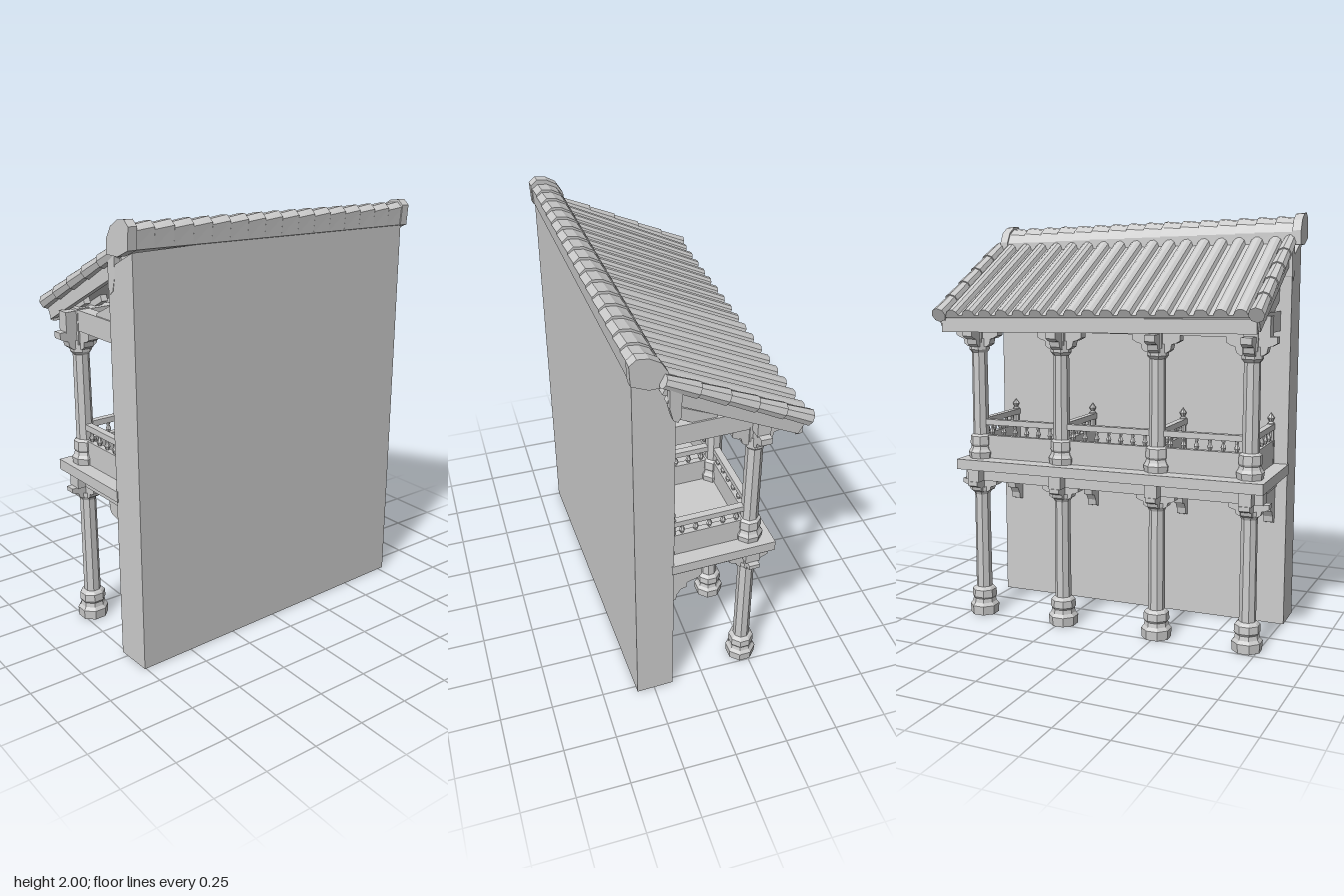
import * as THREE from 'three';

const stone = new THREE.MeshStandardMaterial({ color: 0xcccccc, flatShading: true, side: THREE.DoubleSide });
stone.name = 'paleGrey';

const COLS = [-0.69, -0.245, 0.245, 0.69]; // column centres along x
const COL_Z = -0.205;                      // column row
const WALL_Z = 0.182;                      // rear face of the wall

function add(parent, name, geo, x = 0, y = 0, z = 0) {
  const m = new THREE.Mesh(geo, stone);
  m.name = name;
  m.position.set(x, y, z);
  parent.add(m);
  return m;
}

// box given by its limits on each axis
function box(parent, name, [x0, x1], [y0, y1], [z0, z1]) {
  return add(parent, name, new THREE.BoxGeometry(x1 - x0, y1 - y0, z1 - z0),
    (x0 + x1) / 2, (y0 + y1) / 2, (z0 + z1) / 2);
}

// octagonal turned piece, profile listed as [radius, y]
function turned(parent, name, pts, x, z, sides = 8) {
  const geo = new THREE.LatheGeometry(pts.map(p => new THREE.Vector2(p[0], p[1])), sides, Math.PI / 8);
  return add(parent, name, geo, x, 0, z);
}

function shapeOf(pts) {
  return new THREE.Shape(pts.map(p => new THREE.Vector2(p[0], p[1])));
}

// profile listed as [z, y], extruded along x about a centre
function profileX(parent, name, pts, xc, width) {
  const geo = new THREE.ExtrudeGeometry(shapeOf(pts.map(([z, y]) => [-z, y])), { depth: width, bevelEnabled: false });
  geo.rotateY(Math.PI / 2);
  return add(parent, name, geo, xc - width / 2);
}

function buildWall(parent) {
  // open at the bottom, top slanting with the roof
  const geo = new THREE.BoxGeometry(1.54, 1.87, 0.18);
  const idx = Array.from(geo.index.array);
  idx.splice(18, 6);
  geo.setIndex(idx);
  geo.clearGroups();
  const p = geo.attributes.position;
  for (let i = 0; i < p.count; i++) {
    if (p.getY(i) > 0 && p.getZ(i) < 0) p.setY(i, p.getY(i) - 0.09);
  }
  add(parent, 'wall', geo, 0, 0.935, 0.272);
}

// stepped capital under a beam, reaching out along x and z
function capital(parent, x, y, reach, h) {
  const half = [[reach, h], [reach, h * 0.65], [reach * 0.8, h * 0.5], [reach * 0.65, h * 0.45],
    [reach * 0.6, h * 0.15], [reach * 0.45, 0]];
  const pts = [...half, ...half.map(([a, b]) => [-a, b]).reverse()];
  for (const turn of [0, Math.PI / 2]) {
    const geo = new THREE.ExtrudeGeometry(shapeOf(pts), { depth: 0.05, bevelEnabled: false });
    geo.translate(0, 0, -0.025);
    geo.rotateY(turn);
    add(parent, 'capital', geo, x, y, COL_Z);
  }
}

function buildColumns(parent) {
  for (const x of COLS) {
    turned(parent, 'lowerColumn', [[0.07, 0], [0.073, 0.045], [0.06, 0.06], [0.056, 0.08], [0.062, 0.09],
      [0.06, 0.125], [0.05, 0.135], [0.04, 0.14], [0.038, 0.62], [0.048, 0.64], [0.048, 0.66]], x, COL_Z);
    turned(parent, 'upperColumn', [[0.06, 0.8], [0.065, 0.835], [0.055, 0.85], [0.05, 0.865], [0.055, 0.875],
      [0.053, 0.915], [0.04, 0.925], [0.038, 1.33], [0.05, 1.345], [0.05, 1.4]], x, COL_Z);
    capital(parent, x, 0.635, 0.095, 0.06);
    capital(parent, x, 1.36, 0.115, 0.085);
    box(parent, 'beamBlock', [x - 0.032, x + 0.032], [1.38, 1.545], [COL_Z - 0.04, COL_Z + 0.04]);
    box(parent, 'tieBeam', [x - 0.03, x + 0.03], [1.445, 1.54], [COL_Z, WALL_Z + 0.01]);
    // cross joist below the deck and its stepped wall bracket
    box(parent, 'deckJoist', [x - 0.03, x + 0.03], [0.693, 0.76], [-0.295, WALL_Z + 0.01]);
    profileX(parent, 'wallBracket', [[0.185, 0.51], [0.15, 0.52], [0.145, 0.55], [0.125, 0.58], [0.1, 0.585],
      [0.095, 0.615], [0.04, 0.63], [0.025, 0.65], [0.025, 0.695], [0.185, 0.695]], x, 0.045);
  }
  box(parent, 'lowerBeam', [-0.76, 0.76], [0.693, 0.76], [COL_Z - 0.035, COL_Z + 0.035]);
  box(parent, 'upperBeam', [-0.775, 0.775], [1.44, 1.535], [COL_Z - 0.03, COL_Z + 0.03]);
  box(parent, 'deck', [-0.775, 0.775], [0.755, 0.805], [-0.305, WALL_Z + 0.01]);
  // slanted struts between the wall and the end tie beams
  for (const x of [COLS[0], COLS[3]]) {
    profileX(parent, 'strut', [[0.19, 1.65], [-0.02, 1.55], [-0.02, 1.52], [0.07, 1.53], [0.19, 1.59]], x, 0.045);
  }
}

// railing of a given length running along +x from its own origin
function railing(parent, length, x, z, turn) {
  const g = new THREE.Group();
  g.name = 'railing';
  g.position.set(x, 0, z);
  g.rotation.y = turn;
  box(g, 'panel', [0, length], [0.8, 0.92], [-0.014, 0.014]);
  box(g, 'handrail', [0, length], [0.972, 1.0], [-0.016, 0.016]);
  const n = Math.round(length / 0.065);
  for (let i = 1; i < n; i++) {
    turned(g, 'baluster', [[0.007, 0.92], [0.014, 0.937], [0.007, 0.955], [0.011, 0.975]], i * length / n, 0, 6);
  }
  parent.add(g);
}

function buildRailings(parent) {
  for (let i = 0; i < 3; i++) railing(parent, COLS[i + 1] - COLS[i], COLS[i], COL_Z, 0);
  for (const x of COLS) {
    railing(parent, WALL_Z - COL_Z, x, COL_Z, -Math.PI / 2);
    turned(parent, 'wallPost', [[0.016, 0.8], [0.016, 1.005], [0.009, 1.012], [0.018, 1.03], [0, 1.055]], x, WALL_Z - 0.018);
  }
}

function buildRoof(parent) {
  const roof = new THREE.Group();
  roof.name = 'roof';
  roof.rotation.z = -0.018;
  parent.add(roof);

  // slope frame: origin at the eave, +z running up to the ridge
  const slope = new THREE.Group();
  slope.name = 'roofSlope';
  slope.position.set(0, 1.53, -0.378);
  slope.rotation.x = -0.477;
  roof.add(slope);
  const LEN = 0.7;

  // ribbed tile sheet
  const pts = [[-0.79, -0.012], [-0.79, 0]];
  const ribs = 17, step = 0.0885;
  for (let i = 0; i < ribs; i++) {
    const c = (i - (ribs - 1) / 2) * step;
    for (const [dx, y] of [[-0.033, 0], [-0.026, 0.018], [-0.01, 0.028], [0.01, 0.028], [0.026, 0.018], [0.033, 0]]) {
      pts.push([c + dx, y]);
    }
  }
  pts.push([0.79, 0], [0.79, -0.012]);
  add(slope, 'tileSheet', new THREE.ExtrudeGeometry(shapeOf(pts), { depth: LEN, bevelEnabled: false }));
  box(slope, 'roofBoard', [-0.775, 0.775], [-0.055, -0.01], [0.01, LEN - 0.02]);

  // overlapping tiles along both gable edges
  for (const s of [-1, 1]) {
    const n = 5, l = LEN / n;
    for (let i = 0; i < n; i++) {
      const geo = new THREE.CylinderGeometry(0.03, 0.037, l + 0.015, 8);
      geo.rotateX(Math.PI / 2);
      add(slope, 'gableTile', geo, s * 0.778, 0.005, (i + 0.5) * l);
    }
    box(slope, 'bargeBoard', [s * 0.77 - 0.015, s * 0.77 + 0.015], [-0.08, 0], [0.0, LEN - 0.05]);
    profileX(roof, 'gablePendant', [[0.23, 1.83], [0.23, 1.74], [0.215, 1.68], [0.195, 1.665], [0.18, 1.69],
      [0.18, 1.8]], s * 0.785, 0.035);
  }
  // eave fascia and small rafter ends behind it
  box(roof, 'eaveFascia', [-0.775, 0.775], [1.45, 1.515], [-0.365, -0.335]);
  for (let i = 0; i < ribs; i++) {
    const c = (i - (ribs - 1) / 2) * step;
    box(slope, 'rafter', [c - 0.016, c + 0.016], [-0.085, -0.05], [0.01, 0.22]);
  }
}

function buildRidge(parent) {
  const ridge = new THREE.Group();
  ridge.name = 'ridge';
  ridge.position.set(0, 1.86, 0.3);
  ridge.rotation.z = -0.028;
  parent.add(ridge);
  const prof = [[0.068, 0], [0.073, 0.085], [0.045, 0.108], [0, 0.102], [-0.045, 0.075], [-0.072, 0.03], [-0.075, -0.03], [0, -0.03]];
  const x0 = -0.765, n = 16, w = 1.53 / n;
  for (let i = 0; i < n; i++) {
    // each tile rises toward its +x end, giving the saw-tooth line
    const m = profileX(ridge, 'ridgeTile', prof, 0, w);
    const p = m.geometry.attributes.position;
    for (let k = 0; k < p.count; k++) {
      const f = p.getX(k) > w / 2 ? 1.0 : 0.88;
      if (p.getY(k) > 0) p.setY(k, p.getY(k) * f);
    }
    m.position.x = x0 + i * w;
  }
  // thicker rounded end caps
  for (const s of [-1, 1]) {
    const m = profileX(ridge, 'ridgeEnd', prof, s * 0.778, 0.042);
    m.scale.set(1, 1.1, 1.08);
  }
}

export function createModel() {
  const model = new THREE.Group();
  model.name = 'balconyFacade';
  const body = new THREE.Group();
  body.name = 'building';
  body.rotation.y = 0.035; // stands slightly askew
  model.add(body);
  buildWall(body);
  buildColumns(body);
  buildRailings(body);
  buildRoof(body);
  buildRidge(body);
  return model;
}
